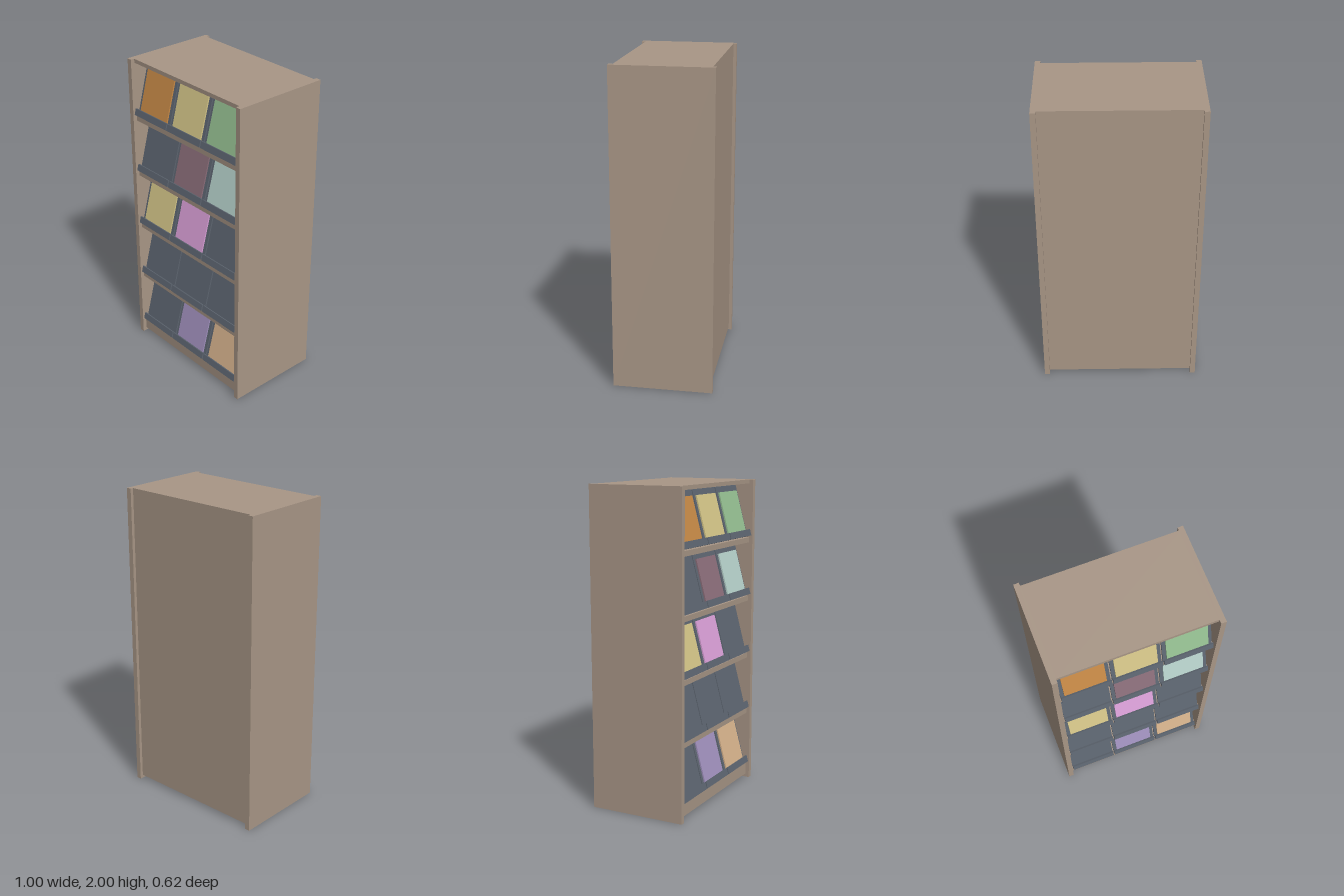
import * as THREE from 'three';

const mat = (name, color) => new THREE.MeshStandardMaterial({ name, color });

export function createModel() {
  const model = new THREE.Group();
  model.name = 'displayCabinet';

  const wood = mat('taupeWood', 0xa89686);
  const slate = mat('slateTray', 0x5c646f);
  const orange = mat('orangeCover', 0xc68946);
  const yellow = mat('yellowCover', 0xd3c487);
  const green = mat('greenCover', 0x95bf91);
  const mauve = mat('mauveCover', 0x8a6d79);
  const mint = mat('mintCover', 0xb5d0c9);
  const pink = mat('pinkCover', 0xd89ed6);
  const purple = mat('purpleCover', 0xa090bd);
  const tan = mat('tanCover', 0xd4b18b);

  // Box given by its limits
  const box = (name, material, [x0, x1], [y0, y1], [z0, z1], parent = model) => {
    const mesh = new THREE.Mesh(new THREE.BoxGeometry(x1 - x0, y1 - y0, z1 - z0), material);
    mesh.position.set((x0 + x1) / 2, (y0 + y1) / 2, (z0 + z1) / 2);
    mesh.name = name;
    parent.add(mesh);
    return mesh;
  };

  // Carcass
  const inner = [-0.467, 0.467];
  const depth = [-0.28, 0.285];
  box('rightSide', wood, [-0.5, -0.467], [0, 2], [-0.31, 0.31]);
  box('leftSide', wood, [0.467, 0.5], [0, 2], [-0.31, 0.31]);
  box('backPanel', wood, inner, [0.022, 2], [-0.29, -0.28]);
  box('topBoard', wood, inner, [1.975, 2], depth);
  box('plinth', wood, inner, [0.022, 0.1], depth);

  // Tray side profile: tall back rest, short floor, front lip
  const d = 0.04, t = 0.01, back = 0.343, lip = 0.042;
  const profile = new THREE.Shape([
    [0, 0], [d, 0], [d, lip], [d - t, lip], [d - t, t], [t, t], [t, back], [0, back],
  ].map(([u, v]) => new THREE.Vector2(u, v)));
  const trayWidth = 0.3;
  const trayGeometry = new THREE.ExtrudeGeometry(profile, { depth: trayWidth, bevelEnabled: false });
  trayGeometry.translate(0, 0, -trayWidth / 2);
  trayGeometry.rotateY(-Math.PI / 2);

  // Rows from top to bottom, columns from -x to +x; null is an empty tray
  const rows = [
    [orange, yellow, green],
    [null, mauve, mint],
    [yellow, pink, null],
    [null, null, null],
    [null, purple, tan],
  ];
  const tilt = THREE.MathUtils.degToRad(15);
  rows.forEach((row, r) => {
    const y = 1.633 - 0.382 * r;
    if (r < rows.length - 1) box('shelf', wood, inner, [y - 0.037, y - 0.004], depth);
    row.forEach((cover, c) => {
      const stand = new THREE.Group();
      stand.name = 'displayStand';
      stand.position.set((c - 1) * 0.3085, y, 0.307 - d * Math.cos(tilt));
      stand.rotation.x = -tilt;
      const tray = new THREE.Mesh(trayGeometry, slate);
      tray.name = 'tray';
      stand.add(tray);
      if (cover) box('magazine', cover, [-0.127, 0.127], [t, 0.302], [t, t + 0.009], stand);
      model.add(stand);
    });
  });

  return model;
}
